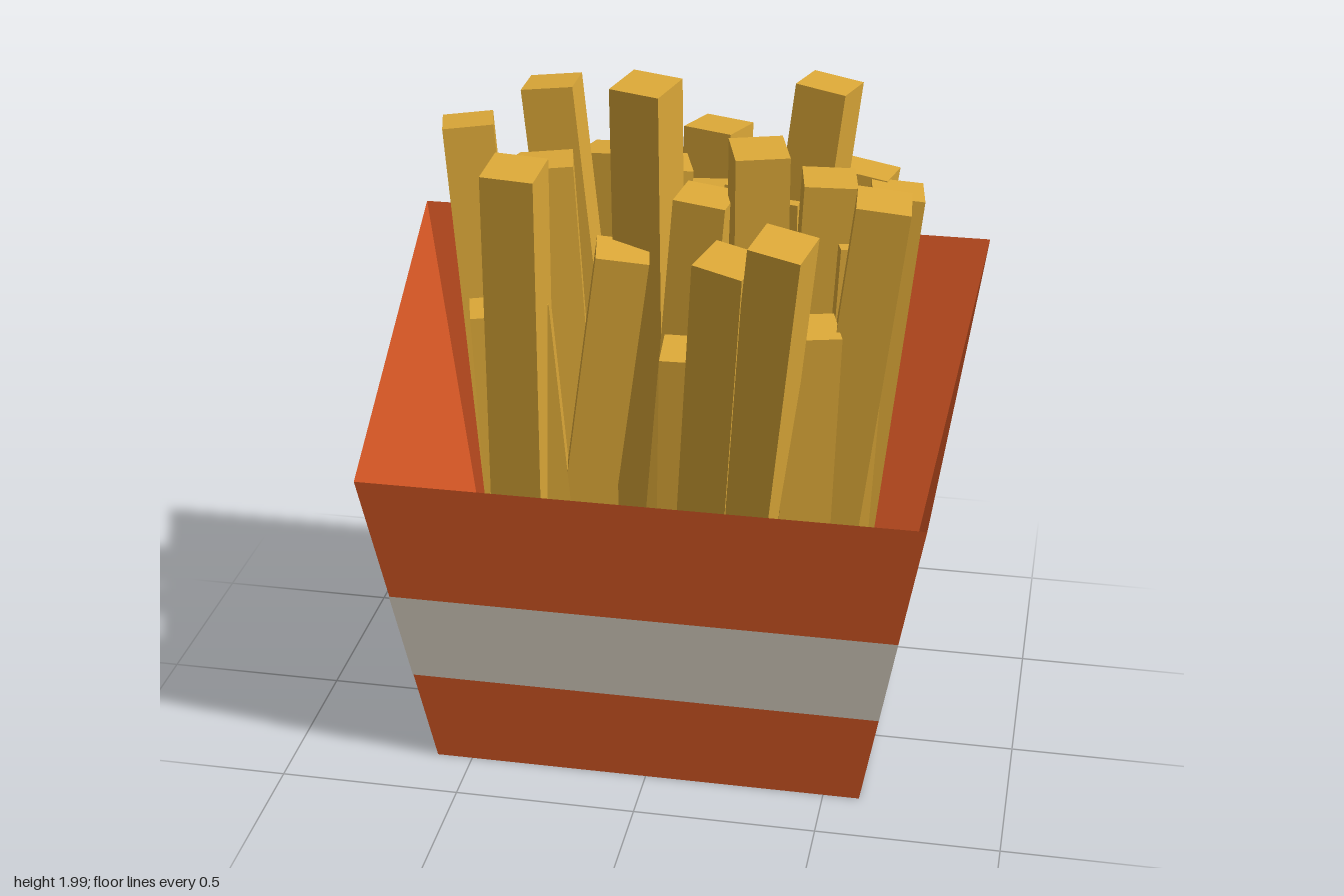
import * as THREE from 'three';

export function createModel() {
  const group = new THREE.Group();
  const orange = new THREE.MeshStandardMaterial({ name: 'cartonOrange', color: 0xdd5a26, side: THREE.DoubleSide });
  const cream = new THREE.MeshStandardMaterial({ name: 'stripeCream', color: 0xddd4c6 });
  const golden = new THREE.MeshStandardMaterial({ name: 'friedGold', color: 0xdda938 });

  // Flat four-cornered panel, corners counter-clockwise from outside
  const panel = (name, corners, material) => {
    const geo = new THREE.BufferGeometry().setFromPoints(corners);
    geo.setIndex([0, 1, 2, 0, 2, 3]);
    const flat = geo.toNonIndexed();
    flat.computeVertexNormals();
    const mesh = new THREE.Mesh(flat, material);
    mesh.name = name;
    group.add(mesh);
  };
  const v = (x, y, z) => new THREE.Vector3(x, y, z);

  // Carton corners, f = front, b = back, top edge rising to the back
  const fl0 = v(-0.6, 0, 0.325), fr0 = v(0.6, 0, 0.325);
  const bl0 = v(-0.6, 0, -0.39), br0 = v(0.6, 0, -0.39);
  const fl1 = v(-0.76, 0.92, 0.45), fr1 = v(0.76, 0.92, 0.45);
  const bl1 = v(-0.825, 1.32, -0.577), br1 = v(0.825, 1.32, -0.577);
  panel('cartonFloor', [bl0, br0, fr0, fl0], orange);
  panel('cartonFront', [fl0, fr0, fr1, fl1], orange);
  panel('cartonBack', [br0, bl0, bl1, br1], orange);
  panel('cartonLeft', [fr0, br0, br1, fr1], orange);
  panel('cartonRight', [bl0, fl0, fl1, bl1], orange);

  // Stripe across a wall, between two heights, just proud of it
  const stripe = (name, a0, b0, b1, a1, dz) => {
    const at = (p, q, y) => p.clone().lerp(q, y / q.y).add(v(0, 0, dz));
    panel(name, [at(a0, a1, 0.285), at(b0, b1, 0.285), at(b0, b1, 0.55), at(a0, a1, 0.55)], cream);
  };
  stripe('frontStripe', fl0, fr0, fr1, fl1, 0.004);
  stripe('backStripe', br0, bl0, bl1, br1, -0.004);

  // Fries: top x, y, z then base x, z
  const fries = [
    [-0.58, 1.73, -0.165, -0.44, -0.12], [-0.45, 1.3, 0.1, -0.4, 0.08],
    [-0.32, 1.89, -0.06, -0.12, 0.0], [0.41, 1.91, -0.12, 0.2, -0.1],
    [-0.02, 1.98, 0.18, -0.03, 0.02], [-0.31, 1.82, 0.41, -0.36, 0.2],
    [-0.3, 1.73, 0.1, -0.2, 0.1], [0.28, 1.85, 0.24, 0.26, 0.1],
    [0.6, 1.74, 0.26, 0.4, 0.16], [0.38, 1.7, 0.49, 0.2, 0.22],
    [0.24, 1.63, 0.45, 0.12, 0.2], [0.14, 1.7, 0.2, 0.0, 0.15],
    [0.44, 1.72, 0.07, 0.36, 0.02], [0.53, 1.56, 0.08, 0.46, 0.08],
    [0.6, 1.63, -0.11, 0.44, -0.1], [0.51, 1.64, -0.23, 0.3, -0.16],
    [0.11, 1.76, -0.17, 0.05, -0.08], [-0.2, 1.65, -0.24, -0.1, -0.1],
    [-0.05, 1.6, -0.16, -0.16, -0.05], [-0.01, 1.7, -0.02, -0.1, 0.0],
    [-0.07, 1.55, 0.24, -0.28, 0.18], [0.25, 1.7, 0.06, 0.16, 0.0],
    [0.3, 1.6, -0.1, 0.3, -0.05], [-0.42, 1.6, -0.24, -0.28, -0.1],
    [0.12, 1.33, 0.34, 0.08, 0.22], [0.43, 1.4, 0.3, 0.38, 0.2],
    [-0.33, 1.42, 0.28, -0.24, 0.18], [0.1, 1.65, 0.01, 0.2, 0.08],
  ];
  const up = v(0, 1, 0);
  fries.forEach(([x, y, z, bx, bz], i) => {
    const top = v(x, y, z), base = v(bx, 0.06, bz);
    const axis = top.clone().sub(base);
    const fry = new THREE.Mesh(new THREE.BoxGeometry(0.138, axis.length(), 0.138), golden);
    fry.name = `fry${i + 1}`;
    fry.position.copy(top).add(base).multiplyScalar(0.5);
    fry.quaternion.setFromUnitVectors(up, axis.normalize());
    fry.rotateY(0.3 * Math.sin(i * 7.3 + 1));
    group.add(fry);
  });
  return group;
}
